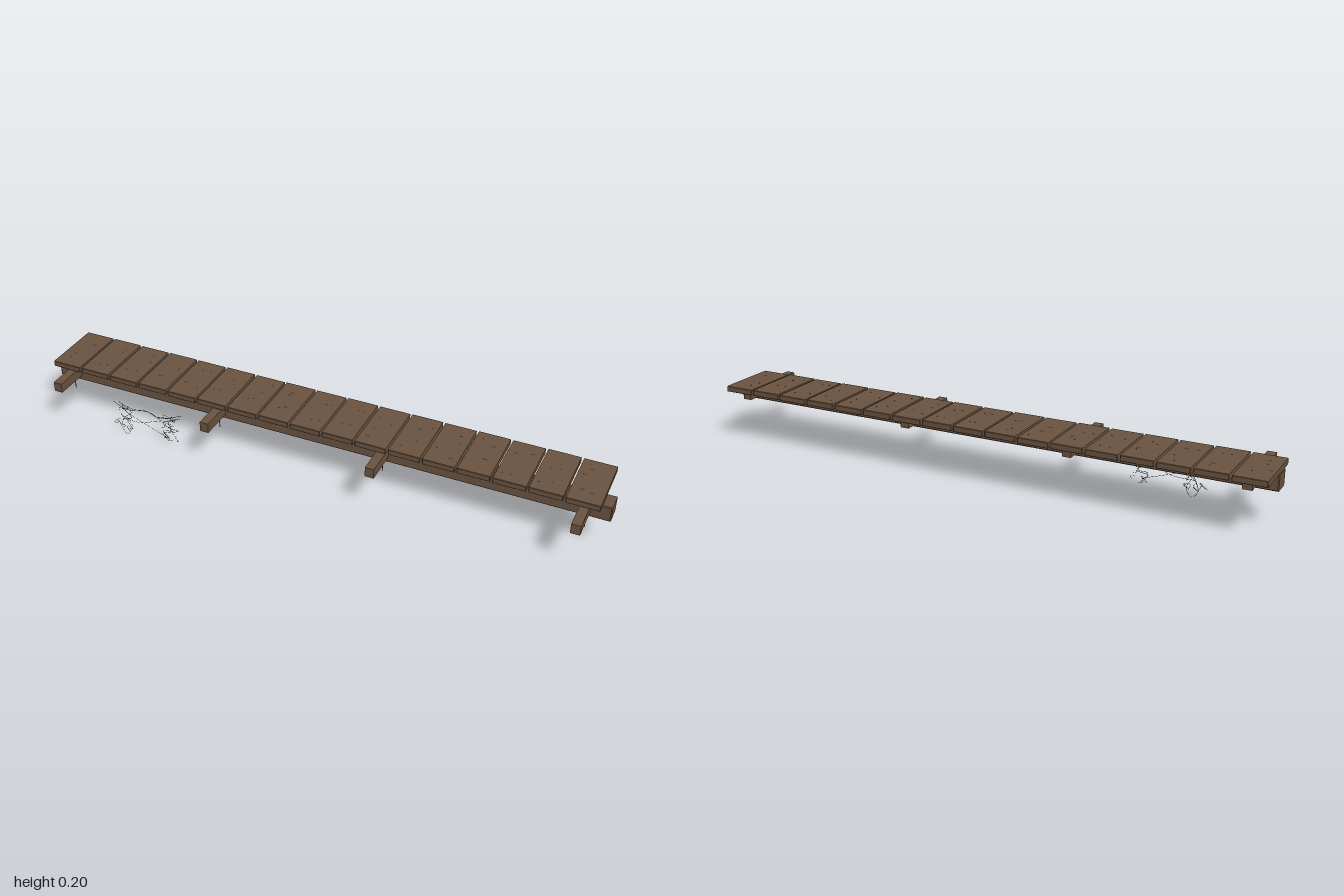
import * as THREE from 'three';

export function createModel() {
  const model = new THREE.Group();
  const mat = (name, color) => {
    const m = new THREE.MeshStandardMaterial({ color });
    m.name = name;
    return m;
  };
  const wood = mat('weathered wood', 0x6a5340);
  const iron = mat('rusty iron', 0x493a2f);
  const rope = mat('frayed rope', 0x3d3a36);

  let seed = 7;
  const rand = () => (seed = (seed * 16807) % 2147483647) / 2147483647;
  const spread = (r) => (rand() * 2 - 1) * r;

  function add(parent, name, geometry, material, pos) {
    const mesh = new THREE.Mesh(geometry, material);
    mesh.name = name;
    mesh.position.set(...pos);
    parent.add(mesh);
    return mesh;
  }

  // Timber with all edges chamfered by b
  function timber(sx, sy, sz, b) {
    const x = sx / 2 - b, y = sy / 2 - b;
    const shape = new THREE.Shape([[-x, -y], [x, -y], [x, y], [-x, y]]
      .map(([px, py]) => new THREE.Vector2(px, py)));
    return new THREE.ExtrudeGeometry(shape, {
      depth: sz - 2 * b, bevelEnabled: true, bevelSegments: 1, bevelSize: b, bevelThickness: b,
    }).translate(0, 0, b - sz / 2);
  }

  // Long bearer
  add(model, 'longBeam', timber(2, 0.054, 0.066, 0.003), wood, [0, 0.155, -0.001]);

  // Cross beams, each with a spike in front of the bearer
  [-0.925, -0.343, 0.254, 0.92].forEach((x) => {
    add(model, 'crossBeam', new THREE.BoxGeometry(0.031, 0.035, 0.262), wood, [x, 0.1645, 0.024]);
    add(model, 'spike', new THREE.CylinderGeometry(0.0015, 0.0015, 0.064, 6), iron,
      [x + 0.01, 0.147, 0.067]);
  });

  // Deck planks with small raised splinters near both ends
  for (let i = 0; i < 17; i++) {
    const plank = new THREE.Group();
    plank.name = 'plank';
    plank.position.set(-0.944 + i * 0.1162, 0.1935 + (i % 2) * 0.001, -0.0445);
    add(plank, 'board', timber(0.108, 0.02, 0.221, 0.0015), wood, [0, 0, 0]);
    for (let k = 0; k < 4; k++) {
      add(plank, 'splinter', new THREE.BoxGeometry(0.01, 0.0006, 0.001), wood,
        [spread(0.035), 0.0102, (k % 2 ? 0.045 : -0.045) + spread(0.03)]);
    }
    model.add(plank);
  }

  // Tangled rope hanging in front of the bearer
  const tangle = new THREE.Group();
  tangle.name = 'ropeTangle';
  function strand(points, radius, wobble, z = 0.101) {
    const pts = points.map(([x, y]) => new THREE.Vector3(
      x + spread(wobble), Math.max(0.002, y + spread(wobble)), z + spread(wobble)));
    const curve = new THREE.CatmullRomCurve3(pts);
    add(tangle, 'strand', new THREE.TubeGeometry(curve, pts.length * 5, radius, 4), rope, [0, 0, 0]);
  }
  for (let k = 0; k < 2; k++) {
    strand([[-0.73, 0.125], [-0.7, 0.115], [-0.67, 0.09], [-0.7, 0.06], [-0.72, 0.035]], 0.0008, 0.009);
    strand([[-0.72, 0.125], [-0.66, 0.115], [-0.6, 0.125], [-0.54, 0.105], [-0.47, 0.13]], 0.0008, 0.008);
    strand([[-0.48, 0.125], [-0.53, 0.1], [-0.51, 0.07], [-0.54, 0.05], [-0.52, 0.025]], 0.0008, 0.009);
  }
  strand([[-0.7, 0.06], [-0.62, 0.07], [-0.57, 0.085], [-0.51, 0.09]], 0.0006, 0.004);
  strand([[-0.68, 0.09], [-0.6, 0.065], [-0.52, 0.035]], 0.0006, 0.004);
  strand([[-0.72, 0.05], [-0.7, 0.015], [-0.685, 0.001], [-0.675, 0.03], [-0.69, 0.06]], 0.0006, 0.004);
  // Short frayed ends around both sides of the tangle
  for (let k = 0; k < 30; k++) {
    const x = (k % 2 ? -0.695 : -0.515) + spread(0.03), y = 0.03 + rand() * 0.095;
    strand([[x, y], [x + spread(0.018), y - 0.006], [x + spread(0.022), y - 0.014]],
      0.0007, 0.006, 0.101 + spread(0.008));
  }
  model.add(tangle);

  return model;
}
